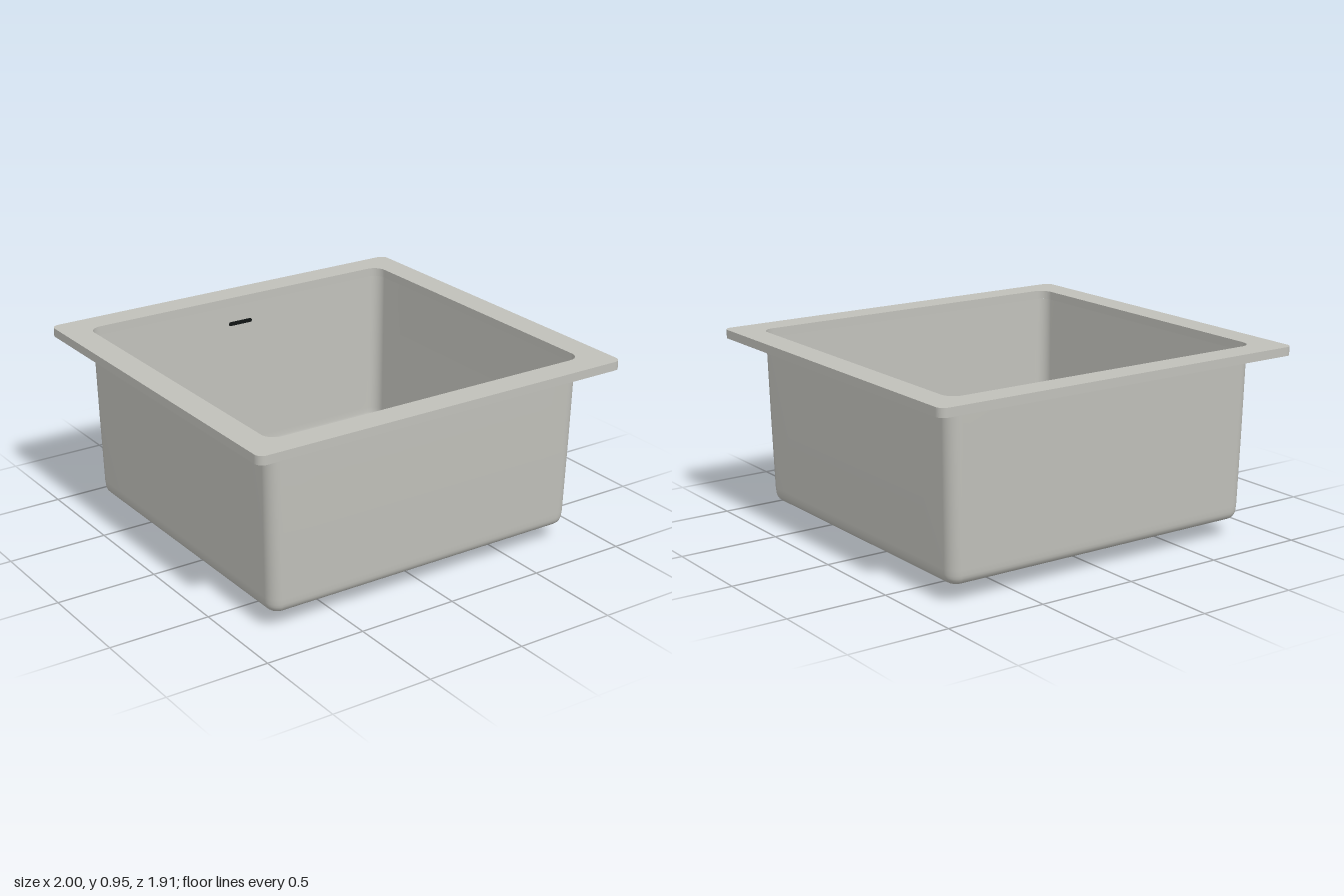
import * as THREE from 'three';

const DRAIN_Z = -0.36;

// Rounded rectangle outline with half sizes w and d and corner radius r
function outline(w, d, r) {
  const s = new THREE.Shape();
  s.moveTo(w, -d + r);
  s.lineTo(w, d - r);
  s.absarc(w - r, d - r, r, 0, Math.PI / 2);
  s.lineTo(-w + r, d);
  s.absarc(-w + r, d - r, r, Math.PI / 2, Math.PI);
  s.lineTo(-w, -d + r);
  s.absarc(-w + r, -d + r, r, Math.PI, Math.PI * 1.5);
  s.lineTo(w - r, -d);
  s.absarc(w - r, -d + r, r, Math.PI * 1.5, Math.PI * 2);
  return s;
}

// The same outline as a loop of points with a fixed count, at height y
function ring(w, d, r, y) {
  const pts = [], corner = 8, side = 10;
  const signs = [[1, 1], [-1, 1], [-1, -1], [1, -1]];
  signs.forEach(([sx, sz], q) => {
    for (let i = 0; i <= corner; i++) {
      const a = (q + i / corner) * Math.PI / 2;
      pts.push(new THREE.Vector3(sx * (w - r) + r * Math.cos(a), y, sz * (d - r) + r * Math.sin(a)));
    }
    const [nx, nz] = signs[(q + 1) % 4];
    const a = (q + 1) * Math.PI / 2;
    const end = new THREE.Vector3(nx * (w - r) + r * Math.cos(a), y, nz * (d - r) + r * Math.sin(a));
    const start = pts[pts.length - 1];
    for (let i = 1; i < side; i++) pts.push(start.clone().lerp(end, i / side));
  });
  return pts;
}

// Skin through closed loops of equal length
function loft(rings) {
  const n = rings[0].length, index = [];
  for (let k = 0; k < rings.length - 1; k++) {
    for (let i = 0; i < n; i++) {
      const a = k * n + i, b = k * n + (i + 1) % n;
      index.push(a, b, a + n, b, b + n, a + n);
    }
  }
  const g = new THREE.BufferGeometry().setFromPoints(rings.flat());
  g.setIndex(index);
  g.computeVertexNormals();
  return g;
}

export function createModel() {
  const model = new THREE.Group();
  model.name = 'sink';
  const steel = new THREE.MeshStandardMaterial({ name: 'steel grey', color: 0xc0c0ba, side: THREE.DoubleSide });
  const black = new THREE.MeshStandardMaterial({ name: 'black', color: 0x101414, side: THREE.DoubleSide });
  const add = (name, geometry, material) => {
    const m = new THREE.Mesh(geometry, material);
    m.name = name;
    model.add(m);
    return m;
  };

  // Flat rim with the bowl opening
  const rimShape = outline(1, 0.957, 0.04);
  rimShape.holes.push(outline(0.865, 0.822, 0.065));
  const rim = new THREE.ExtrudeGeometry(rimShape, { depth: 0.043, bevelEnabled: false, curveSegments: 8 });
  rim.rotateX(-Math.PI / 2).translate(0, 0.91, 0);
  add('rim', rim, steel);

  // Tapered bowl: walls, rounded lower edge, floor falling to the drain
  const rings = [ring(0.865, 0.822, 0.065, 0.91), ring(0.857, 0.814, 0.065, 0.5), ring(0.849, 0.806, 0.065, 0.16)];
  const fillet = 0.05;
  for (let i = 0; i <= 6; i++) {
    const a = i / 6 * Math.PI / 2, inset = fillet * (1 - Math.cos(a));
    rings.push(ring(0.847 - inset, 0.804 - inset, 0.065 - inset, 0.085 + fillet * (1 - Math.sin(a))));
  }
  const edge = rings[rings.length - 1];
  const mouth = edge.map(p => {
    const a = Math.atan2(p.z - DRAIN_Z, p.x);
    return new THREE.Vector3(0.267 * Math.cos(a), 0.072, DRAIN_Z + 0.267 * Math.sin(a));
  });
  for (const t of [0.05, 0.35, 0.7, 1]) rings.push(edge.map((p, i) => p.clone().lerp(mouth[i], t)));
  add('bowl', loft(rings), steel);

  // Flared drain outlet
  const profile = [[0.267, 0.072], [0.205, 0.069], [0.19, 0.064], [0.177, 0.054], [0.169, 0.043], [0.165, 0.03], [0.165, 0]]
    .map(([x, y]) => new THREE.Vector2(x, y));
  add('drainOutlet', new THREE.LatheGeometry(profile, 48), steel).position.z = DRAIN_Z;

  // Dark end of the outlet
  const cap = add('drainOpening', new THREE.CircleGeometry(0.164, 48), black);
  cap.rotation.x = Math.PI / 2;
  cap.position.set(0, 0.001, DRAIN_Z);

  // Round cover lying over the drain
  add('drainCover', new THREE.CylinderGeometry(0.264, 0.264, 0.008, 64), steel).position.set(0, 0.078, DRAIN_Z);

  // Overflow slot on the inside of the back wall
  const slot = new THREE.ExtrudeGeometry(outline(0.068, 0.01, 0.0099), { depth: 0.004, bevelEnabled: false, curveSegments: 6 });
  add('overflowSlot', slot, black).position.set(0, 0.815, -0.8195);

  return model;
}
